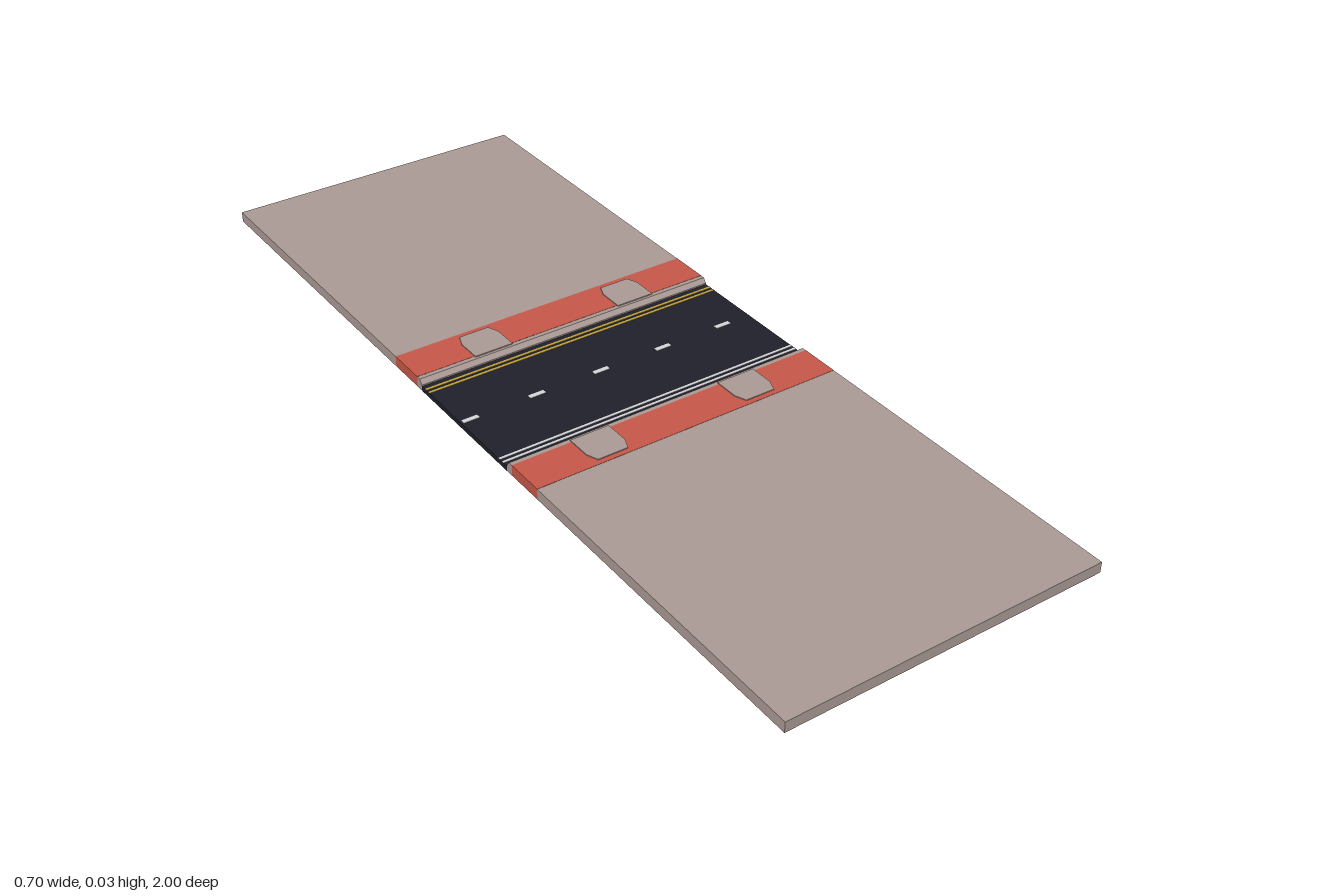
import * as THREE from 'three';

const mat = (name, color, side = THREE.FrontSide) => {
  const m = new THREE.MeshStandardMaterial({ color, side });
  m.name = name;
  return m;
};

const W = 0.704;      // street length along x
const TOP = 0.024;    // pavement height
const ROAD = 0.011;   // road surface height
const EDGE = 0.162;   // half width of the road

export function createModel() {
  const concrete = mat('concrete', 0xac9c97);
  const brick = mat('brick red', 0xc9594a);
  const asphalt = mat('asphalt', 0x20202b);
  const yellow = mat('yellow paint', 0xc6a43a);
  const white = mat('white paint', 0xd8d8da);

  const model = new THREE.Group();
  model.name = 'streetSection';

  const add = (parent, name, geometry, material) => {
    const mesh = new THREE.Mesh(geometry, material);
    mesh.name = name;
    parent.add(mesh);
    return mesh;
  };
  // Box given by its x, y and z ranges
  const box = (parent, name, material, [x0, x1], [y0, y1], [z0, z1]) => {
    const mesh = add(parent, name, new THREE.BoxGeometry(x1 - x0, y1 - y0, z1 - z0), material);
    mesh.position.set((x0 + x1) / 2, (y0 + y1) / 2, (z0 + z1) / 2);
    return mesh;
  };
  const full = [-W / 2, W / 2];
  const shapeOf = (pts) => new THREE.Shape(pts.map(([a, b]) => new THREE.Vector2(a, b)));

  // Roadway and lane paint
  box(model, 'road', asphalt, full, [0, ROAD], [-EDGE, EDGE]);
  const paint = [ROAD, ROAD + 0.0008];
  for (const z of [0.134, 0.147]) {
    box(model, 'yellowEdgeLine', yellow, full, paint, [-z - 0.003, -z + 0.003]);
    box(model, 'whiteEdgeLine', white, full, paint, [z - 0.003, z + 0.003]);
  }
  for (let i = 0; i < 5; i++) {
    const x = Math.max(-0.352, -0.348 + i * 0.153);
    box(model, 'laneDash', white, [x, x + 0.036], paint, [-0.015, -0.004]);
  }

  // One sidewalk, built on +z and turned half round for the other side
  const sidewalk = (name, turn) => {
    const g = new THREE.Group();
    g.name = name;
    g.rotation.y = turn;
    model.add(g);

    box(g, 'pavementSlab', concrete, full, [0.001, TOP], [0.269, 1]);
    box(g, 'brickBand', brick, full, [0.001, TOP + 0.0005], [0.18, 0.269]);

    // Sloped curb, extruded along x
    const profile = shapeOf([[-EDGE, 0.001], [-EDGE, 0.014], [-0.17, TOP], [-0.18, TOP], [-0.18, 0.001]]);
    const curbGeo = new THREE.ExtrudeGeometry(profile, { depth: W, bevelEnabled: false });
    curbGeo.rotateY(Math.PI / 2).translate(-W / 2, 0, 0);
    add(g, 'curb', curbGeo, concrete);

    // Raised concrete pads joining the curb, with clipped outer corners
    for (const x of [-0.175, 0.175]) {
      const pad = shapeOf([
        [-0.044, -0.176], [-0.044, -0.232], [-0.034, -0.257],
        [0.034, -0.257], [0.044, -0.232], [0.044, -0.176],
      ]);
      const padGeo = new THREE.ExtrudeGeometry(pad, { depth: 0.0025, bevelEnabled: false });
      padGeo.rotateX(-Math.PI / 2).translate(x, TOP - 0.0002, 0);
      add(g, 'curbPad', padGeo, concrete);
    }

    // Underside: brick bed with a concrete strip along one edge
    box(g, 'brickBed', brick, full, [0.0005, 0.001], [EDGE, 1]);
    const strip = shapeOf([
      [-0.352, 1], [-0.235, 1], [-0.235, 0.31], [-0.255, 0.28], [-0.325, 0.275], [-0.352, 0.2],
    ]);
    const stripGeo = new THREE.ShapeGeometry(strip);
    stripGeo.rotateX(Math.PI / 2);
    add(g, 'undersideStrip', stripGeo, concrete);
  };
  sidewalk('frontSidewalk', 0);
  sidewalk('backSidewalk', Math.PI);

  return model;
}
